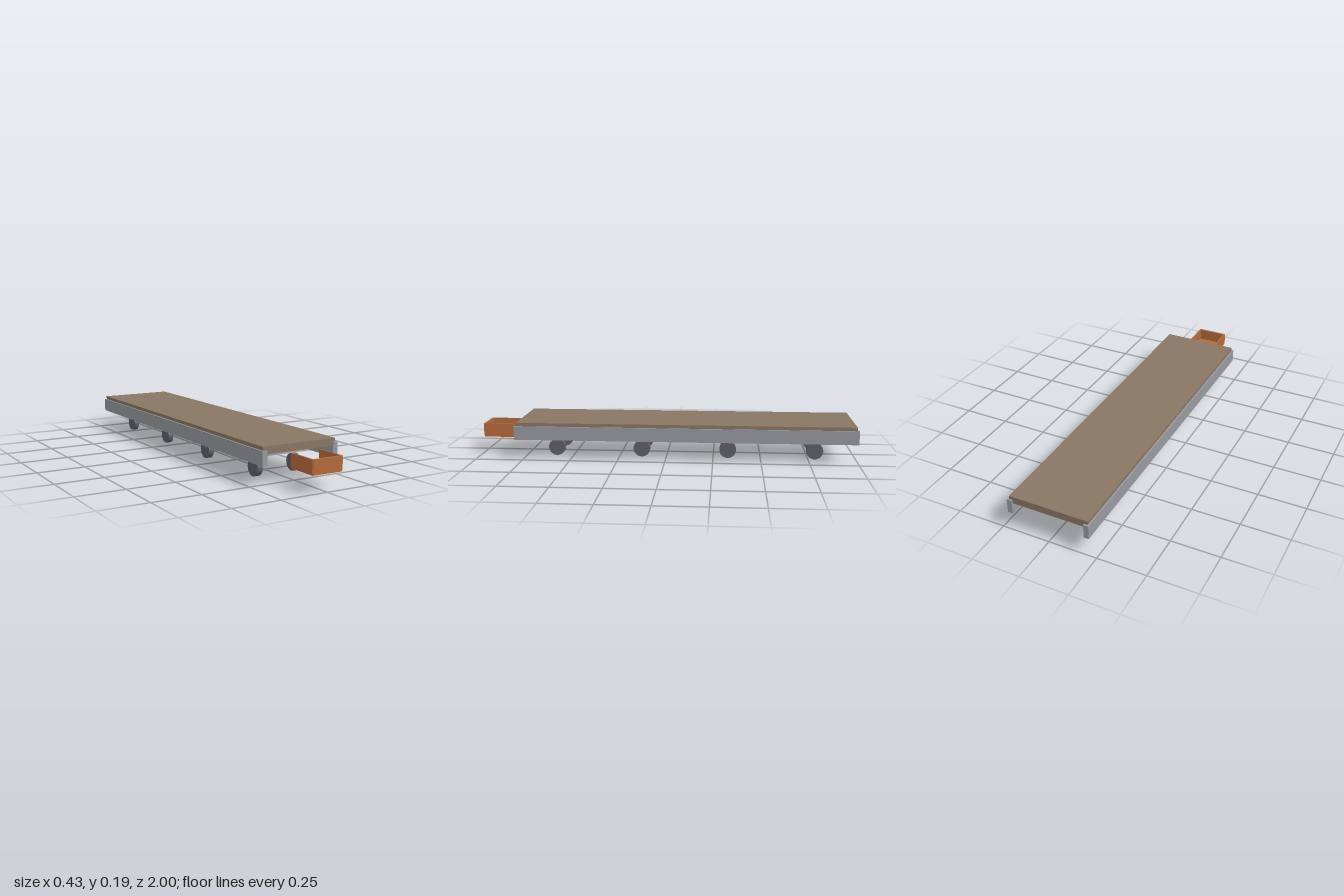
import * as THREE from 'three';

const wood = new THREE.MeshStandardMaterial({ name: 'deck brown', color: 0x8a7664 });
const steel = new THREE.MeshStandardMaterial({ name: 'frame grey', color: 0x969a9f });
const rubber = new THREE.MeshStandardMaterial({ name: 'wheel dark grey', color: 0x606066 });
const orange = new THREE.MeshStandardMaterial({ name: 'tray orange', color: 0xb66b3a });

// Box given by its minimum and maximum on each axis
function box(parent, name, material, [x0, x1], [y0, y1], [z0, z1]) {
  const mesh = new THREE.Mesh(new THREE.BoxGeometry(x1 - x0, y1 - y0, z1 - z0), material);
  mesh.position.set((x0 + x1) / 2, (y0 + y1) / 2, (z0 + z1) / 2);
  mesh.name = name;
  parent.add(mesh);
}

export function createModel() {
  const model = new THREE.Group();
  model.name = 'flatTrailer';

  // Deck and the two long side rails
  box(model, 'deck', wood, [-0.206, 0.206], [0.153, 0.19], [-0.99, 0.79]);
  box(model, 'leftRail', steel, [0.188, 0.214], [0.1, 0.172], [-1, 0.8]);
  box(model, 'rightRail', steel, [-0.214, -0.188], [0.1, 0.172], [-1, 0.8]);

  // A cross member above each pair of wheels
  const wheelGeometry = new THREE.CylinderGeometry(0.044, 0.044, 0.028, 32).rotateZ(Math.PI / 2);
  for (const z of [0.589, 0.131, -0.327, -0.785]) {
    box(model, 'crossMember', steel, [-0.19, 0.19], [0.1, 0.136], [z - 0.02, z + 0.02]);
    for (const side of [-1, 1]) {
      const wheel = new THREE.Mesh(wheelGeometry, rubber);
      wheel.position.set(side * 0.114, 0.044, z);
      wheel.name = side > 0 ? 'leftWheel' : 'rightWheel';
      model.add(wheel);
    }
  }

  // Tray in front of the deck, open at the back
  const tray = new THREE.Group();
  tray.name = 'frontTray';
  box(tray, 'trayFloor', orange, [-0.081, 0.081], [0.085, 0.096], [0.837, 0.998]);
  box(tray, 'trayFront', orange, [-0.081, 0.081], [0.093, 0.158], [0.988, 1]);
  box(tray, 'trayLeftWall', orange, [0.076, 0.085], [0.095, 0.158], [0.837, 0.997]);
  box(tray, 'trayRightWall', orange, [-0.085, -0.076], [0.095, 0.158], [0.837, 0.997]);
  model.add(tray);

  return model;
}
